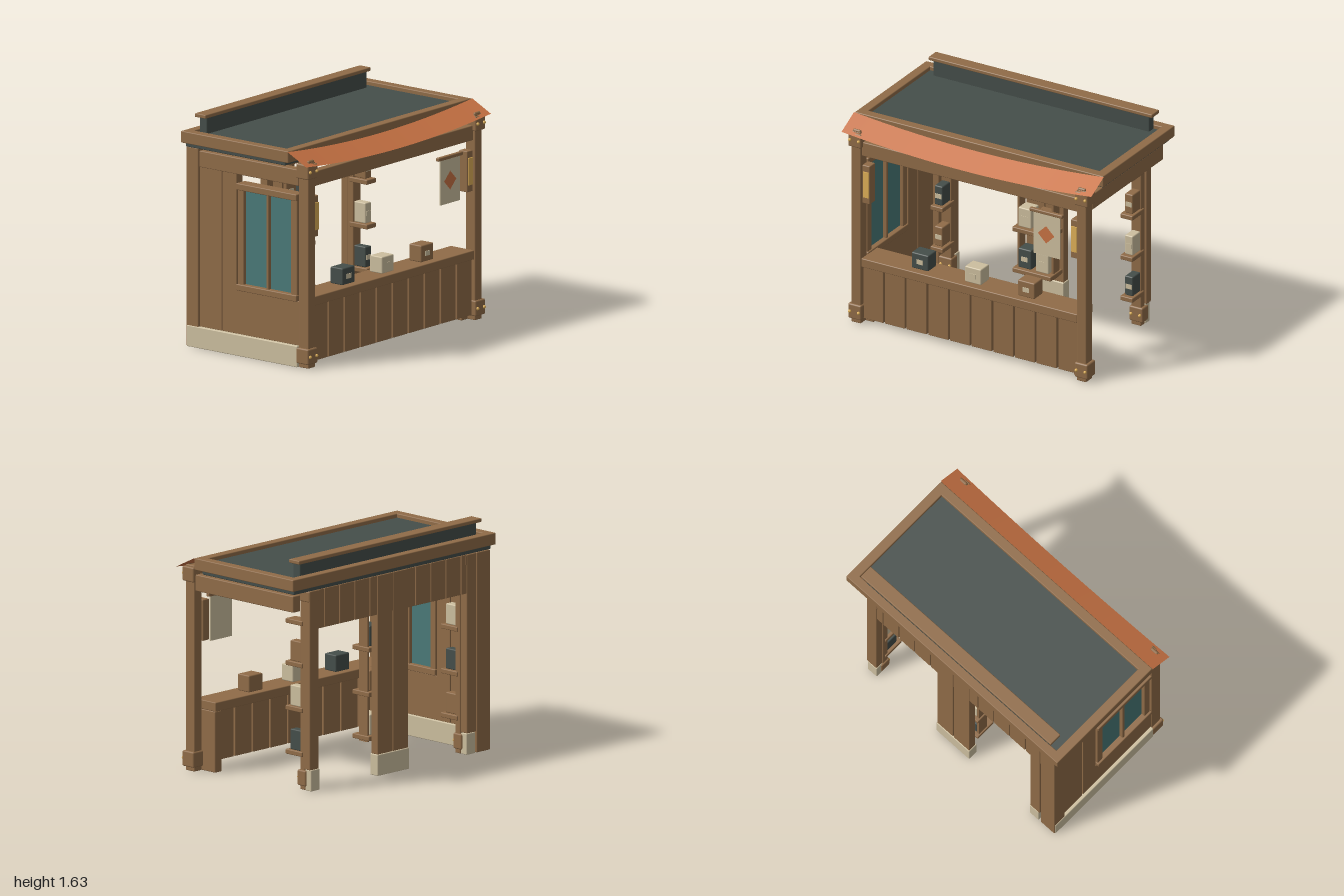
import * as THREE from 'three';
import { RoundedBoxGeometry } from 'three/addons/geometries/RoundedBoxGeometry.js';

const mat = (name, color, side = THREE.FrontSide) => {
  const m = new THREE.MeshStandardMaterial({ color, side });
  m.name = name;
  return m;
};

export function createModel() {
  const wood = mat('wood', 0x906c48);
  const slate = mat('slate', 0x454e4a);
  const stone = mat('pale stone', 0xcdbf9f);
  const glass = mat('teal glass', 0x4a7a79);
  const gold = mat('gold', 0xdfb058);
  const cloth = mat('orange cloth', 0xc97344, THREE.DoubleSide);
  const model = new THREE.Group();

  const add = (name, geometry, material) => {
    const mesh = new THREE.Mesh(geometry, material);
    mesh.name = name;
    model.add(mesh);
    return mesh;
  };
  // Box given by its limits on each axis; thick ones get a slight bevel
  const box = (name, material, x0, x1, y0, y1, z0, z1, bevel = 0.006) => {
    const size = [x1 - x0, y1 - y0, z1 - z0];
    const g = bevel && Math.min(...size) > 0.02
      ? new RoundedBoxGeometry(...size, 1, bevel) : new THREE.BoxGeometry(...size);
    g.translate((x0 + x1) / 2, (y0 + y1) / 2, (z0 + z1) / 2);
    return add(name, g, material);
  };
  // Same box on the side s (+1 or -1), limits given for +x
  const sideBox = (name, material, s, x0, x1, ...rest) =>
    s > 0 ? box(name, material, x0, x1, ...rest) : box(name, material, -x1, -x0, ...rest);
  const stud = (x, y, z) => {
    add('stud', new THREE.SphereGeometry(0.012, 8, 6), gold).position.set(x, y, z);
  };

  // Posts with bracket blocks, side beams and end panels
  for (const s of [1, -1]) {
    sideBox('frontPost', wood, s, 0.865, 0.94, 0, 1.45, 0.44, 0.525);
    sideBox('backPost', wood, s, 0.72, 0.8, 0, 1.41, -0.485, -0.435);
    for (const [y0, y1] of [[0.03, 0.14], [1.335, 1.44]]) {
      sideBox('frontBracket', wood, s, 0.855, 0.96, y0, y1, 0.43, 0.54, 0.01);
      for (const dx of [-0.035, 0.035]) stud(s * 0.907 + dx, (y0 + y1) / 2, 0.543);
    }
    for (const [y0, y1, z0] of [[0.03, 0.14, -0.505], [1.33, 1.408, -0.543]]) {
      sideBox('backBracket', wood, s, 0.71, 0.818, y0, y1, z0, -0.425, 0.01);
      for (const dx of [-0.035, 0.035]) stud(s * 0.762 + dx, (y0 + y1) / 2, -0.422);
    }
    sideBox('sideBeam', wood, s, 0.865, 0.938, 1.275, 1.39, -0.505, 0.435);
    sideBox('counterEnd', wood, s, 0.8, 0.865, 0, 0.43, 0.315, 0.46);
    sideBox('lampBoard', wood, s, 0.805, 0.866, 0.91, 1.2, 0.43, 0.505);
    sideBox('lampPlate', gold, s, 0.811, 0.855, 0.96, 1.152, 0.505, 0.513, 0);
    sideBox('cornerBoard', wood, s, 0.725, 0.815, 0.15, 1.41, -0.545, -0.485);
    sideBox('cornerPlinth', stone, s, 0.72, 0.805, 0, 0.15, -0.547, -0.49);
  }
  box('frontBeam', wood, -0.865, 0.865, 1.27, 1.375, 0.45, 0.51);

  // Counter with plank front
  box('counterTop', wood, -0.865, 0.865, 0.43, 0.495, 0.31, 0.52);
  for (let i = 0; i < 10; i++) {
    const x = -0.861 + i * 0.1735;
    box('counterPlank', wood, x, x + 0.161, 0.035, 0.43, 0.465, 0.5, 0.004);
  }

  // Back wall: header boards, rail and middle column
  for (let i = 0; i < 11; i++) {
    const x = -0.82 + i * 0.149;
    box('headerBoard', wood, x, x + 0.143, 1.135, 1.41, -0.54, -0.49, 0.004);
  }
  box('headerRail', wood, -0.72, 0.72, 1.13, 1.205, -0.49, -0.445);
  for (const s of [1, -1]) {
    sideBox('columnBoard', wood, s, 0.003, 0.15, 0.15, 1.41, -0.545, -0.485, 0.004);
    sideBox('rackSide', wood, s, 0.127, 0.145, 0.22, 1.27, -0.44, -0.36, 0);
  }
  box('columnPlinth', stone, -0.155, 0.155, 0, 0.15, -0.55, -0.475);

  // Closed side wall with window
  box('wallCorner', wood, -0.953, -0.822, 0, 1.41, -0.545, -0.44);
  box('wallPlinth', stone, -0.958, -0.855, 0, 0.15, -0.54, 0.44);
  box('wallPanel', wood, -0.935, -0.87, 0.15, 0.46, -0.24, 0.44, 0.003);
  box('wallBoard', wood, -0.935, -0.87, 0.15, 1.28, -0.24, -0.115, 0.003);
  box('wallBoard', wood, -0.935, -0.87, 0.15, 1.28, -0.45, -0.246, 0.003);
  box('windowGlass', glass, -0.912, -0.898, 0.5, 1.175, -0.06, 0.38, 0);
  box('windowHead', wood, -0.955, -0.86, 1.17, 1.217, -0.105, 0.43);
  box('windowSill', wood, -0.955, -0.86, 0.46, 0.505, -0.105, 0.43);
  for (const [z0, z1] of [[-0.1, -0.048], [0.15, 0.172], [0.37, 0.425]])
    box('windowUpright', wood, -0.94, -0.87, 0.5, 1.175, z0, z1);

  // Small storage crate with a label
  const crate = (material, x, y, z0, z1, w, h) => {
    const mid = y + h * 0.48;
    box('crate', material, x - w / 2, x + w / 2, y, y + h, z0, z1, 0.008);
    box('crateLabel', stone, x - 0.025, x + 0.025, mid - 0.017, mid + 0.017, z1, z1 + 0.004, 0);
  };
  crate(slate, -0.428, 0.495, 0.355, 0.465, 0.135, 0.118);
  crate(stone, -0.003, 0.495, 0.355, 0.465, 0.13, 0.118);
  crate(wood, 0.423, 0.495, 0.355, 0.465, 0.135, 0.118);

  // Shelf racks at the back: limits in x, crate width, then crates from the top shelf down
  const shelfY = [0.855, 0.54, 0.23];
  const racks = [
    [-0.8, -0.72, 0.064, [[-0.762, [stone, slate, wood]]]],
    [-0.145, 0.145, 0.105, [[-0.072, [wood, stone, slate]], [0.067, [slate, wood, stone]]]],
    [0.72, 0.8, 0.064, [[0.762, [wood, stone, slate]]]],
  ];
  for (const [x0, x1, width, stacks] of racks) {
    for (const y of [1.152, ...shelfY])
      box('shelf', wood, x0 - 0.01, x1 + 0.01, y, y + 0.034, -0.465, -0.305);
    for (const [x, mats] of stacks)
      mats.forEach((m, i) => crate(m, x, shelfY[i] + 0.034, -0.44, -0.335, width, 0.145));
  }

  // Hanging sign with a diamond
  box('signRod', wood, 0.48, 0.745, 1.19, 1.215, 0.49, 0.52);
  box('signCloth', stone, 0.51, 0.72, 0.875, 1.195, 0.501, 0.509, 0);
  add('signDiamond', new THREE.CircleGeometry(0.066, 4), cloth).position.set(0.612, 1.037, 0.512);

  // Roof: slab, panel, frame and raised back ridge
  box('roofSlab', slate, -0.965, 0.965, 1.41, 1.44, -0.54, 0.34);
  box('roofPanel', slate, -0.94, 0.94, 1.44, 1.495, -0.51, 0.33, 0);
  box('roofFrameFront', wood, -0.995, 0.995, 1.44, 1.523, 0.32, 0.39);
  box('roofFrameBack', wood, -0.995, 0.995, 1.44, 1.523, -0.56, -0.495);
  for (const s of [1, -1]) sideBox('roofFrameSide', wood, s, 0.925, 0.995, 1.44, 1.523, -0.55, 0.38);
  box('ridgeBoard', slate, -0.865, 0.865, 1.49, 1.612, -0.5, -0.435);
  box('ridgeCap', wood, -0.895, 0.895, 1.608, 1.635, -0.52, -0.422);

  // Awning: sloped sheet sagging toward the middle
  const awning = new THREE.PlaneGeometry(2, 1, 24, 2);
  const p = awning.attributes.position;
  for (let i = 0; i < p.count; i++) {
    const x = p.getX(i), t = 0.5 - p.getY(i);
    p.setXYZ(i, x, 1.521 - 0.083 * t - 0.055 * (1 - x * x), 0.39 + 0.165 * t);
  }
  awning.computeVertexNormals();
  add('awning', awning, cloth);
  for (const s of [1, -1]) {
    const peg = new THREE.CapsuleGeometry(0.012, 0.04, 4, 8);
    peg.rotateZ(Math.PI / 2);
    add('awningPeg', peg, wood).position.set(s * 0.9, 1.453, 0.512);
  }
  return model;
}
